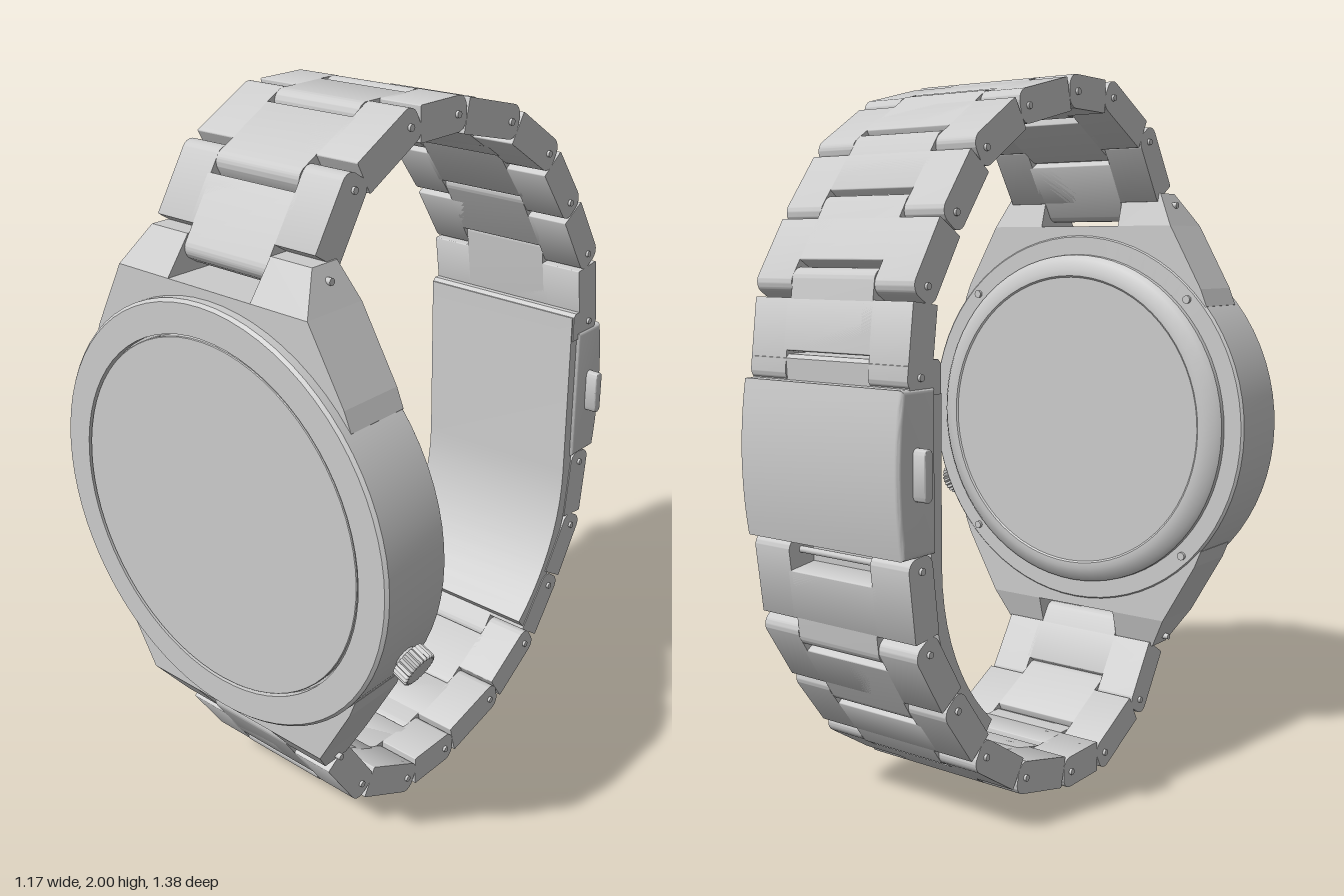
import * as THREE from 'three';
import { toCreasedNormals, mergeGeometries } from 'three/addons/utils/BufferGeometryUtils.js';

const material = new THREE.MeshStandardMaterial({ color: 0xcccccc });
const CASE_Y = 1.005, HALF_W = 0.265, TAB = 0.14;

function part(name, geometry, parent) {
  const mesh = new THREE.Mesh(geometry, material);
  mesh.name = name;
  parent.add(mesh);
  return mesh;
}

// Extrude a (z, y) side profile across x0..x1
function sideExtrude(shape, x0, x1, bevel = 0) {
  const g = new THREE.ExtrudeGeometry(shape, {
    depth: x1 - x0 - 2 * bevel, curveSegments: 10, bevelEnabled: bevel > 0,
    bevelSize: bevel, bevelOffset: -bevel, bevelThickness: bevel, bevelSegments: 3,
  });
  g.rotateY(-Math.PI / 2).translate(x1 - bevel, 0, 0);
  return toCreasedNormals(g, 0.6);
}

// Solid of revolution about z, listed from back to front as [radius, z]
function turned(points) {
  const g = new THREE.LatheGeometry(points.map(p => new THREE.Vector2(...p)), 72);
  return toCreasedNormals(g.rotateX(Math.PI / 2), 0.5);
}

function pin(radius, length) {
  return new THREE.CylinderGeometry(radius, radius, length, 12).rotateZ(Math.PI / 2);
}

// Strap slab profile, rounded at either end
function slab(a, b, roundA, roundB) {
  const h = 0.045, ra = roundA ? 0.032 : 0.003, rb = roundB ? 0.032 : 0.003;
  const s = new THREE.Shape();
  s.moveTo(a + ra, -h);
  s.lineTo(b - rb, -h);
  s.absarc(b - rb, -h + rb, rb, -Math.PI / 2, 0);
  s.absarc(b - rb, h - rb, rb, 0, Math.PI / 2);
  s.lineTo(a + ra, h);
  s.absarc(a + ra, h - ra, ra, Math.PI / 2, Math.PI);
  s.absarc(a + ra, -h + ra, ra, Math.PI, Math.PI * 1.5);
  return s;
}

// Link: centre tab points back to the case, side ears wrap the next tab
function linkGeometry(length) {
  const ear = slab(0.04, length + 0.036, false, true);
  return mergeGeometries([
    sideExtrude(slab(-0.04, length - 0.044, true, false), -TAB + 0.002, TAB - 0.002),
    sideExtrude(ear, TAB, HALF_W),
    sideExtrude(ear, -HALF_W, -TAB),
    // bridge between tab and ears
    sideExtrude(slab(0.04, length - 0.044, false, false), -TAB - 0.01, TAB + 0.01),
  ]);
}

function buildStrap(name, flip) {
  const strap = new THREE.Group();
  strap.name = name;
  const pivots = [[0.555, 1.665], [0.44, 1.845], [0.24, 1.953], [0.06, 1.955], [-0.165, 1.9],
    [-0.345, 1.785], [-0.465, 1.625], [-0.575, 1.45], [-0.603, 1.235]]
    .map(([z, y]) => [z, flip ? 2 - y : y]);
  pivots.forEach(([z, y], i) => {
    part('linkPin', pin(0.009, i === 0 ? 0.6 : 0.545), strap).position.set(0, y, z);
    if (i === pivots.length - 1) return;
    const [z1, y1] = pivots[i + 1];
    const link = part('link', linkGeometry(Math.hypot(z1 - z, y1 - y)), strap);
    link.position.set(0, y, z);
    link.rotation.x = -Math.atan2(y1 - y, z1 - z);
  });
  return strap;
}

// Lug block with two tapered horns either side of the strap notch
function buildLugs(name, flip) {
  const lugs = new THREE.Group();
  lugs.name = name;
  const back = 0.478, front = 0.66, top = 0.695, mid = 0.6;
  const polygon = pts => new THREE.Shape(pts.map(p => new THREE.Vector2(...p)));
  const body = polygon([[-0.445, 0.365], [-0.3, 0.2], [0.3, 0.2], [0.445, 0.365], [0.425, 0.415],
    [0.32, mid], [-0.32, mid], [-0.425, 0.415]]);
  const horn = s => polygon([[s * 0.32, mid], [s * 0.27, top], [s * TAB, top], [s * TAB, mid]]);
  [body, horn(1), horn(-1)].forEach((shape, i) => {
    const g = new THREE.ExtrudeGeometry(shape, { depth: front - back, bevelEnabled: false });
    g.translate(0, 0, back);
    const p = g.attributes.position;
    // slope the horn tips towards their ends
    for (let k = 0; k < p.count; k++) {
      if (p.getY(k) > mid + 0.01) p.setZ(k, p.getZ(k) > 0.6 ? 0.588 : 0.505);
    }
    g.computeVertexNormals();
    part(i ? 'lugHorn' : 'lugBody', g, lugs);
  });
  lugs.position.y = CASE_Y;
  if (flip) lugs.rotation.z = Math.PI;
  return lugs;
}

function buildCase() {
  const body = new THREE.Group();
  body.name = 'watchCase';
  body.position.y = CASE_Y;
  part('caseRing', turned([[0.45, 0.474], [0.568, 0.474], [0.575, 0.481], [0.575, 0.682],
    [0.567, 0.69], [0.487, 0.69], [0.487, 0.67], [0.4, 0.67]]), body);
  part('dialGlass', turned([[0.4, 0.66], [0.481, 0.66], [0.481, 0.686], [0.479, 0.688], [0, 0.688]]), body);
  part('caseBack', turned([[0, 0.437], [0.445, 0.437], [0.45, 0.433], [0.468, 0.433], [0.5, 0.447],
    [0.513, 0.46], [0.515, 0.48]]), body);
  for (let i = 0; i < 4; i++) {
    const a = Math.PI * (0.25 + i / 2);
    const screw = part('backScrew', new THREE.CylinderGeometry(0.012, 0.012, 0.02, 12).rotateX(Math.PI / 2), body);
    screw.position.set(0.544 * Math.cos(a), 0.544 * Math.sin(a), 0.474);
  }
  return body;
}

// Knurled crown on its stem, pointing outwards from the case
function buildCrown() {
  const crown = new THREE.Group();
  crown.name = 'crown';
  const teeth = 24, outline = [];
  for (let i = 0; i < teeth * 2; i++) {
    const r = i % 2 ? 0.045 : 0.051, a = Math.PI * i / teeth;
    outline.push(new THREE.Vector2(r * Math.cos(a), r * Math.sin(a)));
  }
  const knurl = new THREE.ExtrudeGeometry(new THREE.Shape(outline), {
    depth: 0.036, bevelEnabled: true, bevelSize: 0.006, bevelOffset: -0.006, bevelThickness: 0.006, bevelSegments: 2,
  });
  part('crownKnob', knurl.rotateY(Math.PI / 2).translate(0.588, 0, 0), crown);
  part('crownStem', pin(0.03, 0.08), crown).position.x = 0.56;
  crown.position.set(0, CASE_Y, 0.562);
  crown.rotation.z = -0.435;
  return crown;
}

function buildClasp() {
  const clasp = new THREE.Group();
  clasp.name = 'clasp';
  // outer cover with a gently bowed back
  const cover = new THREE.Shape();
  cover.moveTo(-0.55, 0.8);
  cover.lineTo(-0.55, 1.21);
  cover.lineTo(-0.672, 1.21);
  cover.quadraticCurveTo(-0.71, 1.005, -0.672, 0.8);
  part('claspCover', sideExtrude(cover, -0.27, 0.27, 0.012), clasp);

  // folding blade that runs straight, then curves along the lower strap
  const blade = new THREE.Shape();
  blade.moveTo(-0.52, 1.265);
  blade.lineTo(-0.52, 0.76);
  blade.bezierCurveTo(-0.52, 0.58, -0.44, 0.42, -0.315, 0.31);
  blade.lineTo(-0.345, 0.275);
  blade.bezierCurveTo(-0.47, 0.39, -0.56, 0.58, -0.56, 0.76);
  blade.lineTo(-0.56, 1.265);
  part('claspBlade', sideExtrude(blade, -0.262, 0.262), clasp);

  // upper end block
  const block = new THREE.Shape([[-0.525, 1.19], [-0.64, 1.19], [-0.645, 1.265], [-0.635, 1.275],
    [-0.535, 1.275], [-0.525, 1.265]].map(p => new THREE.Vector2(...p)));
  part('claspEnd', sideExtrude(block, -HALF_W, HALF_W), clasp);

  // release buttons on both sides
  const capsule = new THREE.Shape();
  capsule.absarc(0, 0.05, 0.015, 0, Math.PI);
  capsule.absarc(0, -0.05, 0.015, Math.PI, Math.PI * 2);
  for (const side of [1, -1]) {
    const button = part('releaseButton', sideExtrude(capsule, -0.02, 0.02, 0.003), clasp);
    button.position.set(side * 0.287, 1.005, -0.622);
    const stem = part('buttonStem', new THREE.BoxGeometry(0.04, 0.09, 0.018), clasp);
    stem.position.set(side * 0.262, 1.005, -0.622);
  }
  return clasp;
}

export function createModel() {
  const watch = new THREE.Group();
  watch.name = 'wristwatch';
  watch.add(buildCase(), buildCrown(), buildLugs('upperLugs', false), buildLugs('lowerLugs', true));
  watch.add(buildStrap('upperStrap', false), buildStrap('lowerStrap', true), buildClasp());
  return watch;
}
